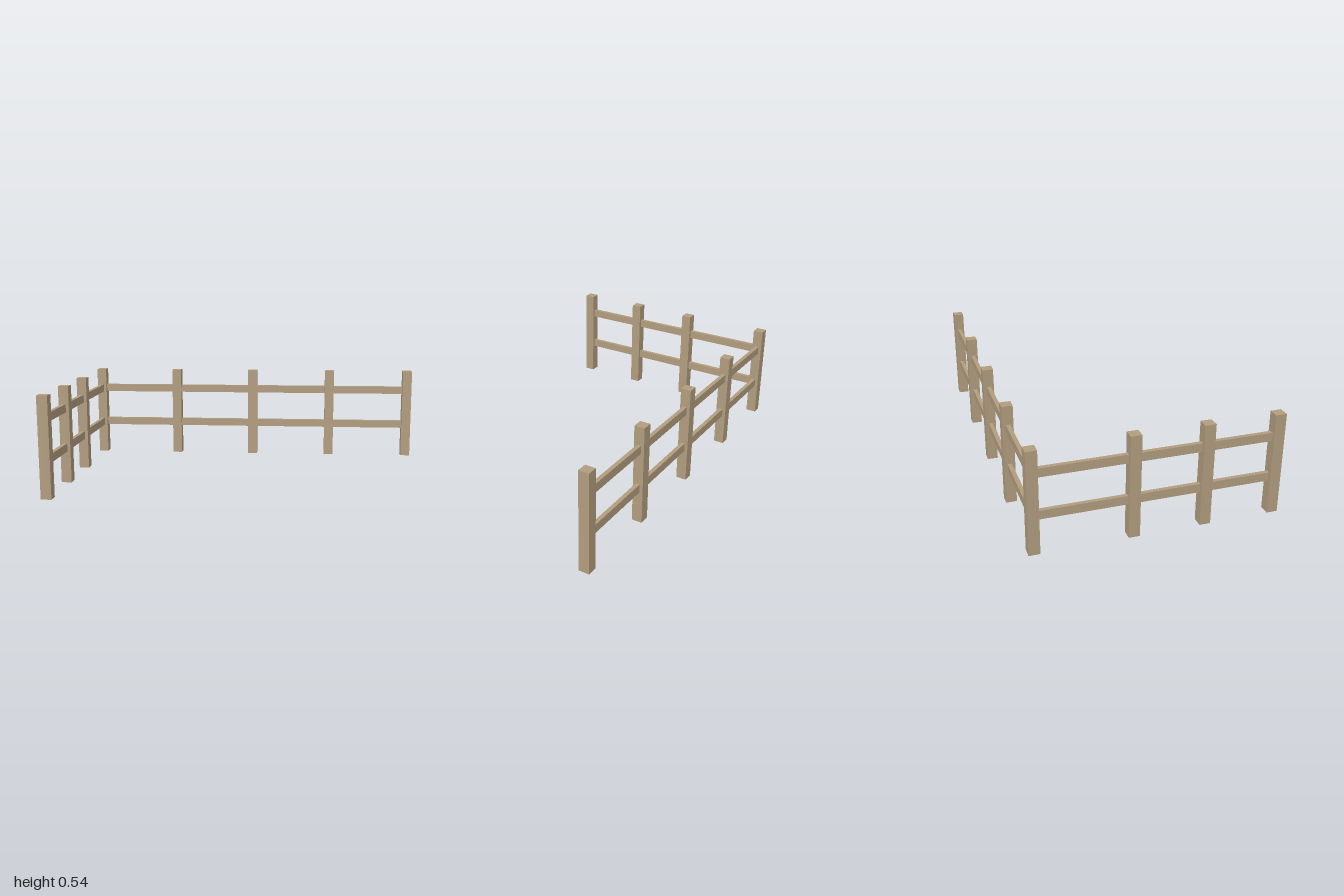
import * as THREE from 'three';

export function createModel() {
  const model = new THREE.Group();
  const wood = new THREE.MeshStandardMaterial({ color: 0xb29d7f });
  wood.name = 'weathered wood';

  const POST = 0.056, POST_HEIGHT = 0.535;
  const RAIL_HEIGHT = 0.045, RAIL_DEPTH = 0.022;
  const SIDE_X = -0.972, BACK_Z = -0.607;

  function addBox(parent, name, size, position) {
    const mesh = new THREE.Mesh(new THREE.BoxGeometry(...size), wood);
    mesh.name = name;
    mesh.position.set(...position);
    parent.add(mesh);
  }

  const addPost = (parent, name, x, z) =>
    addBox(parent, name, [POST, POST_HEIGHT, POST], [x, POST_HEIGHT / 2, z]);

  const backRun = new THREE.Group();
  backRun.name = 'backFence';
  const sideRun = new THREE.Group();
  sideRun.name = 'sideFence';
  model.add(backRun, sideRun);

  // Square posts; the first back post is the shared corner
  [SIDE_X, -0.486, 0, 0.486, 0.972].forEach((x, i) =>
    addPost(backRun, i === 0 ? 'cornerPost' : `backPost${i}`, x, BACK_Z));
  [-0.121, 0.243, 0.607].forEach((z, i) =>
    addPost(sideRun, `sidePost${i + 1}`, SIDE_X, z));

  // Two rails per run, set into the faces of the end posts
  const inset = POST - 0.01;
  [['lower', 0.197], ['upper', 0.414]].forEach(([level, y]) => {
    addBox(backRun, `${level}BackRail`,
      [-2 * SIDE_X - inset, RAIL_HEIGHT, RAIL_DEPTH], [0, y, BACK_Z]);
    addBox(sideRun, `${level}SideRail`,
      [RAIL_DEPTH, RAIL_HEIGHT, -2 * BACK_Z - inset], [SIDE_X, y, 0]);
  });

  return model;
}
